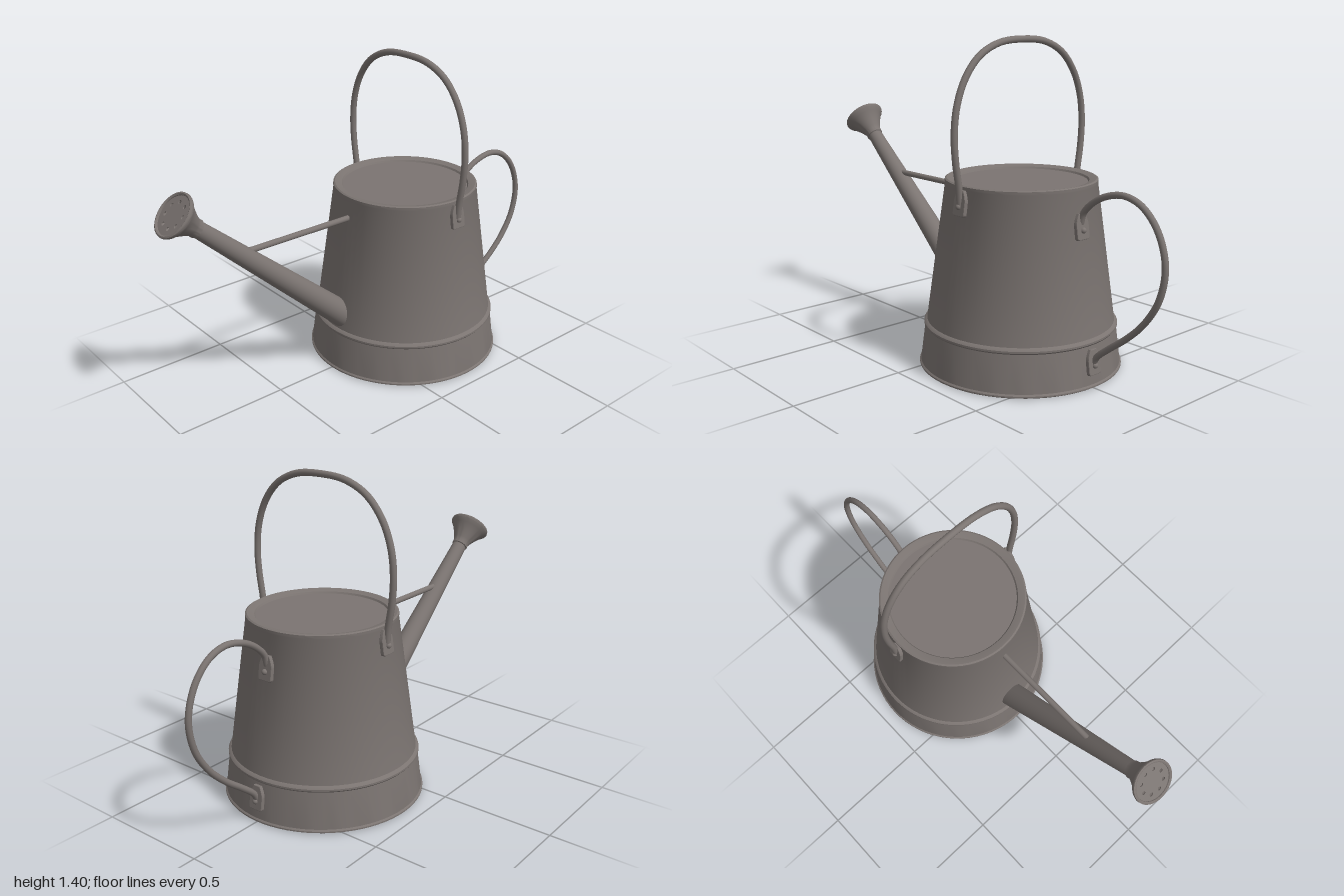
import * as THREE from 'three';
import { toCreasedNormals } from 'three/addons/utils/BufferGeometryUtils.js';

const BODY_Z = -0.22;
const TILT = 0.146;

export function createModel() {
  const model = new THREE.Group();
  model.name = 'wateringCan';
  const metal = new THREE.MeshStandardMaterial({ color: 0x7b7471 });
  metal.name = 'agedMetal';

  const add = (name, geometry, parent = model) => {
    const mesh = new THREE.Mesh(geometry, metal);
    mesh.name = name;
    parent.add(mesh);
    return mesh;
  };
  const lathe = (profile, segments) => toCreasedNormals(
    new THREE.LatheGeometry(profile.map(([r, y]) => new THREE.Vector2(r, y)), segments), 0.6);
  const tube = (points, radius, segments) => new THREE.TubeGeometry(
    new THREE.CatmullRomCurve3(points.map((p) => new THREE.Vector3(...p))), segments, radius, 12);

  // Tapered body: rolled foot, raised seam, rolled rim and sunken lid
  add('body', lathe([
    [0, 0], [0.43, 0], [0.438, 0.005], [0.438, 0.011], [0.432, 0.017],
    [0.412, 0.175], [0.417, 0.181], [0.417, 0.189], [0.411, 0.196], [0.404, 0.2],
    [0.322, 0.794], [0.324, 0.8], [0.323, 0.808], [0.316, 0.812],
    [0.305, 0.81], [0.285, 0.804], [0.28, 0.796], [0, 0.796],
  ], 72)).position.z = BODY_Z;
  const bodyRadius = (y) => (y < 0.19 ? 0.434 - 0.126 * y : 0.404 - 0.138 * (y - 0.2));

  // Spout and rose share one sloping axis
  const spout = new THREE.Group();
  spout.name = 'spoutAssembly';
  const base = new THREE.Vector3(0, 0.235, 0.125);
  const neck = new THREE.Vector3(0, 0.885, 0.86);
  const axis = neck.clone().sub(base);
  const length = axis.length();
  spout.position.copy(base);
  spout.quaternion.setFromUnitVectors(new THREE.Vector3(0, 1, 0), axis.normalize());
  model.add(spout);
  add('spoutTube', new THREE.CylinderGeometry(0.034, 0.06, length, 32), spout).position.y = length / 2;

  // Flared rose with a raised lip around the perforated plate
  add('rose', lathe([
    [0.034, -0.015], [0.039, -0.012], [0.039, 0.006], [0.044, 0.02], [0.06, 0.052],
    [0.08, 0.085], [0.094, 0.1], [0.097, 0.107], [0.096, 0.114], [0.09, 0.117],
    [0.084, 0.113], [0.082, 0.1], [0.05, 0.06], [0, 0.05],
  ], 40), spout).position.y = length;

  const face = new THREE.Shape().absarc(0, 0, 0.085, 0, Math.PI * 2);
  const hole = (x, y) => face.holes.push(new THREE.Path().absarc(x, y, 0.008, 0, Math.PI * 2, true));
  for (let i = 0; i < 8; i++) {
    const a = (i / 8) * Math.PI * 2 + 0.2;
    hole(Math.cos(a) * 0.056, Math.sin(a) * 0.056);
  }
  const plate = add('rosePlate', new THREE.ExtrudeGeometry(face, {
    depth: 0.005, bevelEnabled: false, curveSegments: 16,
  }), spout);
  plate.rotation.x = -Math.PI / 2;
  plate.position.y = length + 0.104;

  // Brace from body to spout
  const brace = add('spoutBrace', new THREE.CylinderGeometry(0.013, 0.013, 0.53, 16));
  brace.rotation.x = Math.PI / 2;
  brace.position.set(0, 0.715, 0.355);

  // Carrying handle over the top, mirrored from one half
  const half = [[0.338, 0.735], [0.343, 0.8], [0.36, 0.91], [0.366, 1.02], [0.352, 1.13],
    [0.31, 1.235], [0.235, 1.322], [0.13, 1.371]];
  add('topHandle', tube([
    ...half.map(([x, y]) => [-x, y, BODY_Z]),
    [0, 1.383, BODY_Z],
    ...half.slice().reverse().map(([x, y]) => [x, y, BODY_Z]),
  ], 0.0145, 96));

  // Looped handle at the back
  add('backHandle', tube([
    [0, 0.665, -0.562], [0, 0.715, -0.578], [0, 0.765, -0.63], [0, 0.8, -0.7], [0, 0.813, -0.785],
    [0, 0.785, -0.87], [0, 0.705, -0.945], [0, 0.58, -0.985], [0, 0.45, -0.965],
    [0, 0.34, -0.9], [0, 0.255, -0.815], [0, 0.19, -0.73], [0, 0.135, -0.665], [0, 0.095, -0.643],
  ], 0.0135, 96));

  // Riveted lugs where the handles meet the body
  const lugShape = new THREE.Shape();
  lugShape.moveTo(-0.024, -0.045);
  lugShape.lineTo(0.024, -0.045);
  lugShape.quadraticCurveTo(0.032, -0.045, 0.032, -0.037);
  lugShape.lineTo(0.032, 0.012);
  lugShape.quadraticCurveTo(0.03, 0.03, 0.015, 0.055);
  lugShape.lineTo(-0.015, 0.055);
  lugShape.quadraticCurveTo(-0.03, 0.03, -0.032, 0.012);
  lugShape.lineTo(-0.032, -0.037);
  lugShape.quadraticCurveTo(-0.032, -0.045, -0.024, -0.045);
  const lugGeometry = new THREE.ExtrudeGeometry(lugShape, {
    depth: 0.012, bevelThickness: 0.003, bevelSize: 0.003, bevelSegments: 2, curveSegments: 6,
  });
  const rivetGeometry = new THREE.SphereGeometry(0.013, 16, 8, 0, Math.PI * 2, 0, Math.PI / 2);
  rivetGeometry.rotateX(Math.PI / 2);

  const addLug = (name, angle, y) => {
    const lug = new THREE.Group();
    lug.name = name;
    const r = bodyRadius(y);
    lug.position.set(Math.sin(angle) * r, y, BODY_Z + Math.cos(angle) * r);
    lug.rotation.set(-TILT, angle, 0, 'YXZ');
    add('lugPlate', lugGeometry, lug);
    add('rivet', rivetGeometry, lug).position.set(0, -0.01, 0.014);
    model.add(lug);
  };
  addLug('leftHandleLug', Math.PI / 2, 0.737);
  addLug('rightHandleLug', -Math.PI / 2, 0.737);
  addLug('upperBackLug', Math.PI, 0.65);
  addLug('lowerBackLug', Math.PI, 0.105);

  return model;
}
